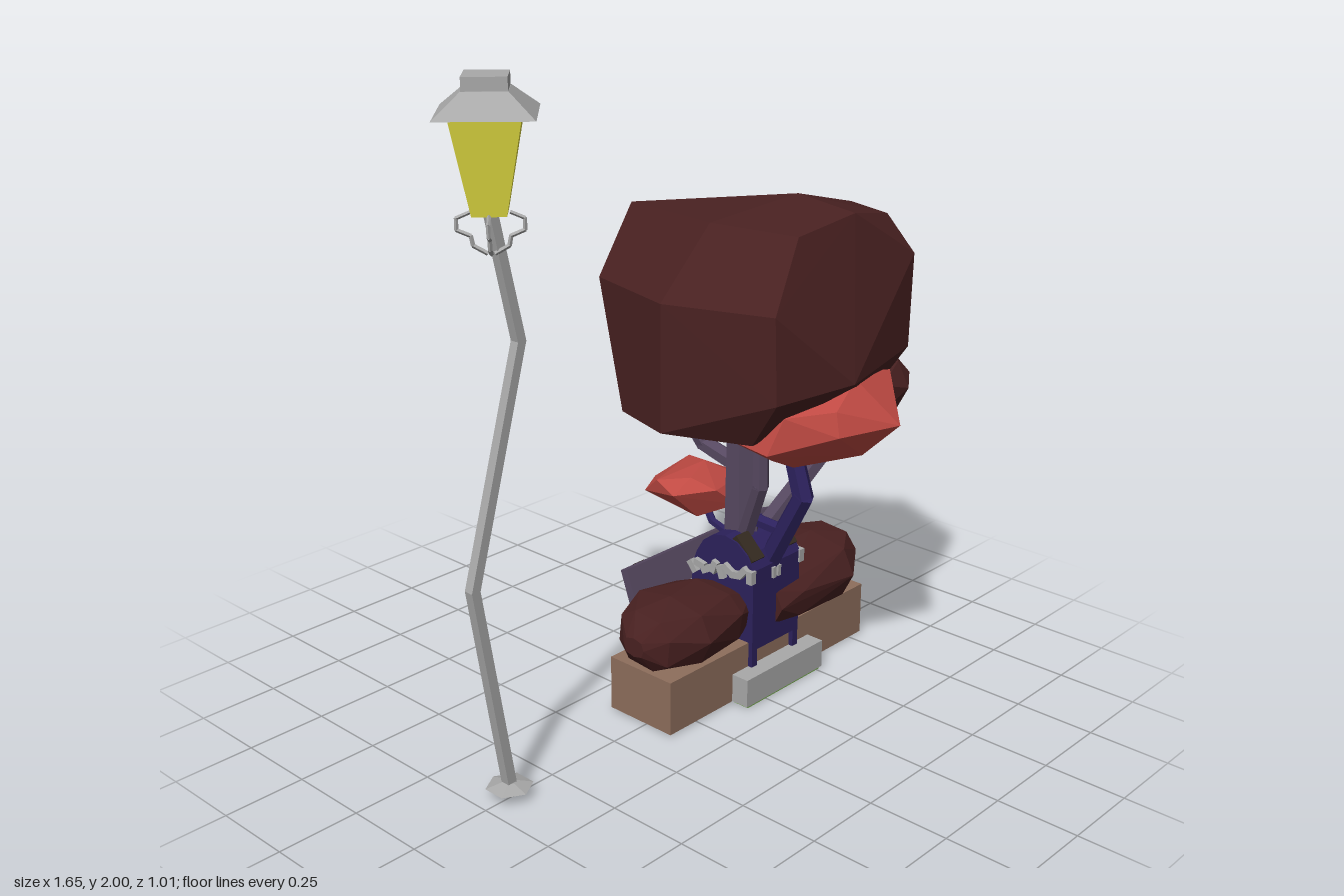
import * as THREE from 'three';
import { ConvexGeometry } from 'three/addons/geometries/ConvexGeometry.js';

const paint = (name, color) => new THREE.MeshStandardMaterial({ name, color, flatShading: true });
const V = (p) => new THREE.Vector3(...p);

export function createModel() {
  const root = new THREE.Group();
  root.name = 'gardenSet';
  const maroon = paint('maroonLeaves', 0x492121);
  const red = paint('redLeaves', 0xc04a43);
  const grey = paint('greyMetal', 0xa9a9a9);
  const tan = paint('tanStone', 0x8e6e5c);
  const yellow = paint('yellowGlass', 0xe2dc42);
  const navy = paint('navyCloth', 0x2c215c);
  const purple = paint('purpleBark', 0x564860);
  const dark = paint('darkOlive', 0x342a20);
  const green = paint('green', 0x74a84c);

  const group = (name) => {
    const g = new THREE.Group();
    g.name = name;
    root.add(g);
    return g;
  };
  const add = (parent, name, geo, mat, pos = [0, 0, 0]) => {
    const m = new THREE.Mesh(geo, mat);
    m.name = name;
    m.position.set(...pos);
    parent.add(m);
    return m;
  };
  // box given by its low and high corners
  const box = (parent, name, mat, a, b) => add(parent, name,
    new THREE.BoxGeometry(b[0] - a[0], b[1] - a[1], b[2] - a[2]), mat,
    a.map((v, i) => (v + b[i]) / 2));
  // faceted rod through points, tapering from r0 to r1; turn spins its facets
  const rod = (parent, name, mat, pts, r0, r1 = r0, sides = 6, turn = 0) => {
    const n = pts.length - 1;
    for (let i = 0; i < n; i++) {
      const a = V(pts[i]), b = V(pts[i + 1]), d = b.clone().sub(a);
      const ra = r0 + (r1 - r0) * i / n, rb = r0 + (r1 - r0) * (i + 1) / n;
      const geo = new THREE.CylinderGeometry(rb, ra, d.length() + Math.min(ra, rb) * 0.4, sides).rotateY(turn);
      const m = add(parent, name, geo, mat, a.clone().add(b).multiplyScalar(0.5).toArray());
      m.quaternion.setFromUnitVectors(new THREE.Vector3(0, 1, 0), d.normalize());
    }
  };
  const hull = (parent, name, mat, pts) => add(parent, name, new ConvexGeometry(pts.map(V)), mat);
  // boxy clump from eight-sided sections [x, y, z, halfHeight, halfDepth] along x
  const boxy = (v) => Math.sign(v) * Math.abs(v) ** 0.75;
  const clump = (parent, name, mat, sections) => {
    const pts = [];
    sections.forEach(([x, y, z, h, d], i) => {
      for (let k = 0; k < 8; k++) {
        const a = (k + (i % 2) * 0.3) / 8 * Math.PI * 2;
        pts.push([x, y + boxy(Math.sin(a)) * h, z + boxy(Math.cos(a)) * d]);
      }
    });
    return hull(parent, name, mat, pts);
  };

  // Street lamp
  const lamp = group('lamp');
  lamp.position.set(-0.65, 0, -0.007);
  add(lamp, 'lampFoot', new THREE.CylinderGeometry(0.02, 0.068, 0.014, 6), grey, [-0.005, 0.042, 0]);
  rod(lamp, 'lampPole', grey, [[-0.005, 0.045, 0], [-0.107, 0.665, 0], [0.08, 1.31, 0], [0, 1.66, 0]], 0.021, 0.019, 4, Math.PI / 4);
  add(lamp, 'lampGlass', new THREE.CylinderGeometry(0.126, 0.062, 0.25, 4), yellow, [0, 1.782, 0]);
  add(lamp, 'lampRoof', new THREE.CylinderGeometry(0.082, 0.177, 0.06, 4), grey, [0, 1.935, 0]);
  add(lamp, 'lampCap', new THREE.CylinderGeometry(0.08, 0.08, 0.035, 4), grey, [0, 1.9825, 0]);
  for (let i = 0; i < 4; i++) {
    const scroll = new THREE.Group();
    scroll.name = 'lampScroll';
    scroll.rotation.y = Math.PI / 4 + i * Math.PI / 2;
    lamp.add(scroll);
    rod(scroll, 'scrollRod', grey,
      [[0.01, 1.555, 0], [0.045, 1.575, 0], [0.05, 1.6, 0], [0.085, 1.615, 0], [0.085, 1.645, 0], [0.05, 1.66, 0]], 0.006, 0.005, 4);
  }

  // Planter with grey troughs on front and back
  const planter = group('planter');
  box(planter, 'planterBlock', tan, [-0.12, 0.008, -0.14], [0.8, 0.18, 0.105]);
  [[0.105, 0.165], [-0.195, -0.14]].forEach(([z0, z1]) => {
    box(planter, 'trough', grey, [0.157, 0.009, z0], [0.52, 0.1, z1]);
    box(planter, 'troughUnderside', green, [0.165, 0.002, z0], [0.512, 0.009, z1 - 0.004]);
  });
  for (const x of [0.242, 0.437]) {
    for (const z of [0.112, -0.147]) box(planter, 'strap', navy, [x - 0.012, 0.002, z - 0.008], [x + 0.012, 0.2, z + 0.008]);
  }

  // Arched cloth saddle between the low bushes
  const saddle = group('saddle');
  const arch = new THREE.Shape();
  arch.moveTo(-0.12, 0.155);
  arch.lineTo(-0.12, 0.37);
  for (let i = 1; i < 8; i++) {
    const a = Math.PI * (1 - i / 8);
    arch.lineTo(-0.005 + Math.cos(a) * 0.125, 0.37 + Math.sin(a) * 0.138);
  }
  arch.lineTo(0.13, 0.37);
  arch.lineTo(0.13, 0.155);
  const cloth = add(saddle, 'saddleCloth', new THREE.ExtrudeGeometry(arch, { depth: 0.22, bevelEnabled: false }), navy, [0.23, 0, 0]);
  cloth.rotation.y = Math.PI / 2;
  // dark clips lying on the front shoulder of the arch
  for (const x of [0.263, 0.419]) {
    const clip = add(saddle, 'saddleClip', new THREE.BoxGeometry(0.055, 0.095, 0.02), dark, [x, 0.478, 0.072]);
    clip.rotation.x = -0.8;
  }
  // grey studs along both flanks and the front
  for (let i = 0; i < 9; i++) {
    for (const x of [0.225, 0.455]) {
      const s = add(saddle, 'stud', new THREE.BoxGeometry(0.022, 0.042, 0.022), grey, [x, 0.405 - 0.004 * i + (i % 2) * 0.012, 0.115 - i * 0.029]);
      s.rotation.x = i * 0.7;
    }
  }
  for (const x of [0.322, 0.345]) box(saddle, 'frontStud', grey, [x - 0.007, 0.375, 0.1], [x + 0.007, 0.41, 0.128]);

  // Tilted back board with dark clips
  const board = group('backBoard');
  board.position.set(0.335, 0.355, -0.182);
  board.rotation.x = -0.35;
  box(board, 'board', purple, [-0.335, -0.055, -0.014], [0.335, 0.055, 0.014]);
  for (const x of [-0.25, 0.25]) box(board, 'boardClip', dark, [x - 0.025, -0.08, -0.023], [x + 0.025, 0.054, -0.01]);

  // Low bushes
  const bushes = group('lowBushes');
  clump(bushes, 'rightLowBush', maroon, [
    [-0.155, 0.27, -0.01, 0.03, 0.04], [-0.11, 0.275, -0.01, 0.09, 0.105],
    [0.01, 0.276, -0.018, 0.1, 0.165], [0.18, 0.27, -0.02, 0.09, 0.145], [0.29, 0.265, -0.01, 0.06, 0.09]]);
  clump(bushes, 'leftLowBush', maroon, [
    [0.34, 0.265, 0.02, 0.07, 0.125], [0.44, 0.265, -0.005, 0.09, 0.16],
    [0.68, 0.27, -0.02, 0.104, 0.18], [0.785, 0.275, -0.02, 0.09, 0.11], [0.822, 0.285, -0.02, 0.04, 0.06]]);

  // Trunk and branches
  const trunk = group('trunk');
  rod(trunk, 'mainTrunk', purple, [[0.335, 0.45, -0.015], [0.33, 0.98, -0.02]], 0.06, 0.045);
  rod(trunk, 'sideBranch', purple, [[0.37, 0.46, 0.015], [0.55, 0.72, 0.12], [0.61, 0.9, 0.1]], 0.036, 0.026);
  rod(trunk, 'backBranch', purple, [[0.33, 0.7, -0.03], [0.33, 0.735, -0.17], [0.31, 0.8, -0.205], [0.31, 0.95, -0.21]], 0.03, 0.022);
  rod(trunk, 'innerBranch', purple, [[0.31, 0.5, 0.02], [0.28, 0.68, 0.1], [0.28, 0.86, 0.1]], 0.028, 0.024);
  rod(trunk, 'frontBranch', navy, [[0.34, 0.42, 0.09], [0.34, 0.66, 0.215], [0.345, 0.85, 0.15]], 0.036, 0.03);
  rod(trunk, 'crossBranch', navy, [[0.34, 0.53, 0.14], [0.335, 0.54, 0]], 0.022);
  rod(trunk, 'lowBackBranch', navy, [[0.36, 0.44, -0.08], [0.38, 0.455, -0.18], [0.41, 0.51, -0.25]], 0.015, 0.012);

  // Leafy crown
  const crown = group('crown');
  hull(crown, 'mainCrown', maroon, [
    [0.4, 1.555, 0.12], [0.1, 1.51, 0.05], [0.17, 1.5, 0.31], [0.4, 1.53, 0.325], [0.6, 1.49, 0.29],
    [0.705, 1.475, 0.08], [0.6, 1.47, -0.12], [0.25, 1.475, -0.4],
    [-0.08, 1.31, 0.03], [0.03, 1.31, 0.35], [0.63, 1.38, 0.37], [0.03, 1.3, -0.32], [0.33, 1.24, -0.505], [0.63, 1.25, -0.23],
    [0.03, 1.06, 0.36], [0.28, 1.08, 0.435], [0.62, 1.1, 0.37], [0.725, 1.1, 0.03],
    [-0.08, 0.93, 0.03], [-0.02, 0.93, -0.18], [0.06, 0.91, 0.25], [0.6, 0.92, 0.25], [0.65, 0.92, 0],
    [0.3, 0.92, -0.37], [0.55, 0.93, -0.28], [0.35, 0.87, -0.05]]);
  // jagged leaf lump on the crown's left side
  hull(crown, 'crownLump', maroon, [
    [0.55, 1.25, -0.24], [0.65, 1.25, -0.24], [0.66, 1.1, -0.26], [0.54, 1.1, -0.33],
    [0.725, 1.1, 0], [0.62, 1.09, 0], [0.675, 1.15, -0.2]]);
  clump(crown, 'sideClump', maroon, [
    [0.54, 0.93, 0.125, 0.06, 0.1], [0.6, 0.93, 0.125, 0.105, 0.18],
    [0.72, 0.93, 0.125, 0.1, 0.185], [0.775, 0.935, 0.125, 0.075, 0.15], [0.8, 0.935, 0.125, 0.03, 0.09]]);
  hull(crown, 'frontRedClump', red, [
    [0.1, 1.0, 0.33], [0.22, 1.01, 0.42], [0.33, 1.075, 0.4], [0.52, 1.055, 0.38], [0.4, 0.945, 0.51], [0.21, 0.94, 0.44],
    [0.57, 0.96, 0.3], [0.52, 0.84, 0.32], [0.36, 0.84, 0.41], [0.36, 0.757, 0.2], [0.21, 0.81, 0.28],
    [0.11, 0.86, 0.28], [0.065, 0.89, 0.3], [0.1, 0.9, 0.02], [0.52, 0.9, 0], [0.3, 0.82, -0.12], [0.35, 0.95, -0.1]]);
  hull(crown, 'backRedClump', red, [
    [0.24, 0.57, -0.22], [0.25, 0.6, -0.3], [0.3, 0.62, -0.2], [0.42, 0.632, -0.25], [0.5, 0.59, -0.39],
    [0.575, 0.55, -0.3], [0.53, 0.535, -0.43], [0.4, 0.53, -0.448], [0.27, 0.54, -0.37], [0.5, 0.49, -0.3],
    [0.42, 0.465, -0.27], [0.33, 0.48, -0.2], [0.4, 0.53, -0.095], [0.33, 0.59, -0.12], [0.5, 0.58, -0.17]]);

  return root;
}
